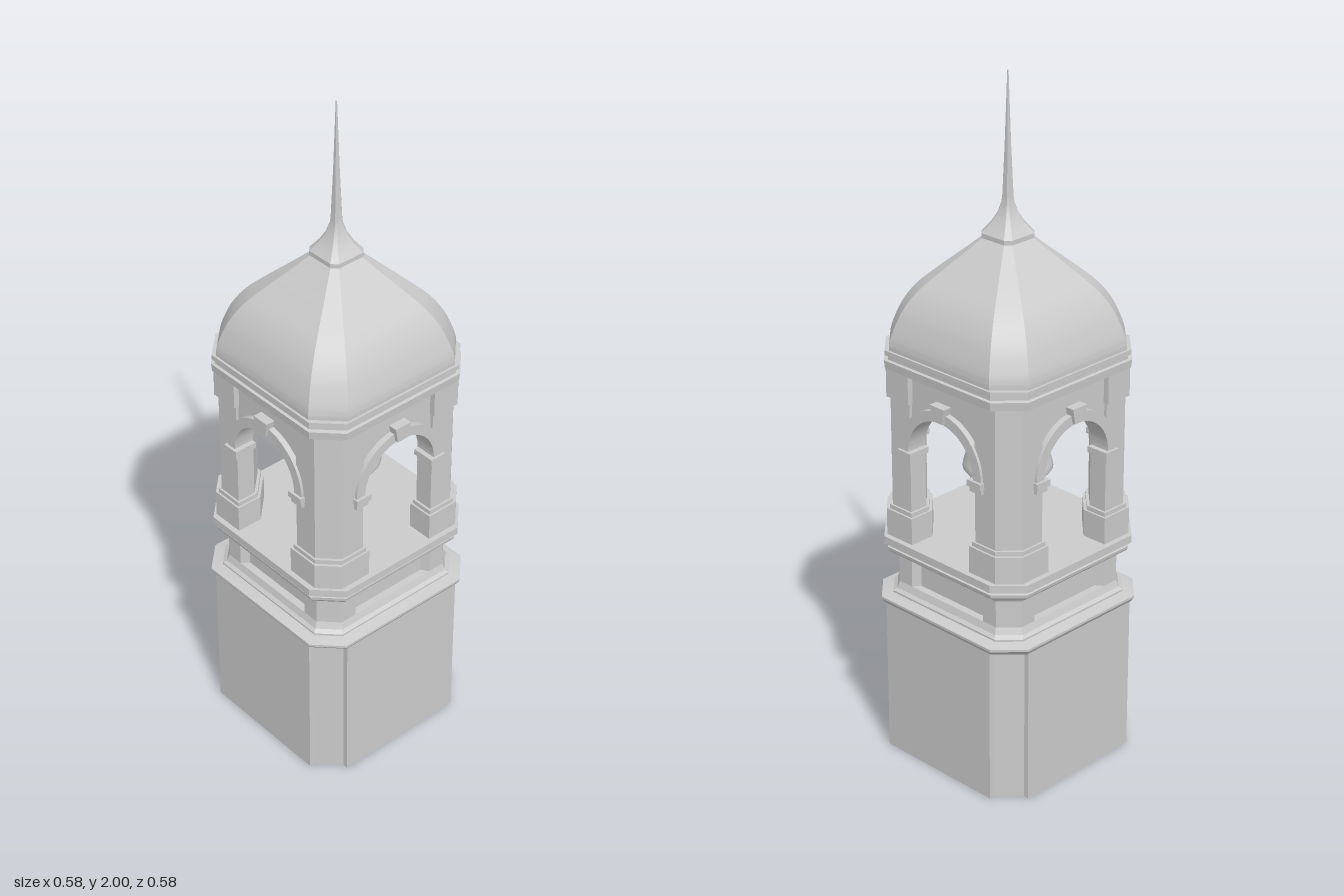
import * as THREE from 'three';
import { toCreasedNormals } from 'three/addons/utils/BufferGeometryUtils.js';

const mat = new THREE.MeshStandardMaterial({ color: 0xcccccc });
const matDouble = new THREE.MeshStandardMaterial({ color: 0xcccccc, side: THREE.DoubleSide });

// Repeats one corner outline (from the +x side round to the +z side) around all four corners
function fourCorners(corner) {
  const pts = [];
  for (let k = 0; k < 4; k++) {
    for (const [x, z] of corner) {
      pts.push([[x, z], [-z, x], [-x, -z], [z, -x]][k]);
    }
  }
  return pts;
}

// Square with cut corners: half width h, cut c
const cutSquare = (h, c) => fourCorners([[h, h - c], [h - c, h]]);

function mesh(name, geometry, material = mat) {
  const m = new THREE.Mesh(geometry, material);
  m.name = name;
  return m;
}

// Skin through rows of [y, half width, corner cut]
function loft(name, rows, { capTop = false, capBottom = false, material = mat } = {}) {
  const pos = [], idx = [], n = 8;
  for (const [y, h, c] of rows) for (const [x, z] of cutSquare(h, c)) pos.push(x, y, z);
  for (let j = 0; j < rows.length - 1; j++) {
    for (let i = 0; i < n; i++) {
      const a = j * n + i, b = j * n + (i + 1) % n;
      idx.push(a, a + n, b, b, a + n, b + n);
    }
  }
  const top = (rows.length - 1) * n;
  for (let i = 1; i < n - 1; i++) {
    if (capTop) idx.push(top, top + i + 1, top + i);
    if (capBottom) idx.push(0, i, i + 1);
  }
  const g = new THREE.BufferGeometry();
  g.setAttribute('position', new THREE.Float32BufferAttribute(pos, 3));
  g.setIndex(idx);
  return mesh(name, toCreasedNormals(g, 0.42), material);
}

// Upright prism over an outline of [x, z] points
function prism(name, pts, y0, y1) {
  const shape = new THREE.Shape(pts.map(([x, z]) => new THREE.Vector2(x, -z)));
  const g = new THREE.ExtrudeGeometry(shape, { depth: y1 - y0, bevelEnabled: false });
  g.rotateX(-Math.PI / 2).translate(0, y0, 0);
  return mesh(name, g);
}

function box(name, w, h, d, x, y, z) {
  return mesh(name, new THREE.BoxGeometry(w, h, d).translate(x, y, z));
}

// Plate in the front plane, from z0 to z1
function plate(name, shape, z0, z1) {
  const g = new THREE.ExtrudeGeometry(shape, { depth: z1 - z0, bevelEnabled: false, curveSegments: 24 });
  return mesh(name, toCreasedNormals(g.translate(0, 0, z0), 0.5));
}

// Open walls of the base, with stepped corners
function baseWalls() {
  const pts = fourCorners([[0.28, 0.205], [0.265, 0.205], [0.205, 0.265], [0.205, 0.28]]);
  const pos = [], idx = [];
  pts.forEach(([x, z], i) => {
    const [x2, z2] = pts[(i + 1) % pts.length];
    pos.push(x, 0, z, x2, 0, z2, x, 0.48, z, x2, 0.48, z2);
    idx.push(4 * i, 4 * i + 2, 4 * i + 1, 4 * i + 1, 4 * i + 2, 4 * i + 3);
  });
  const g = new THREE.BufferGeometry();
  g.setAttribute('position', new THREE.Float32BufferAttribute(pos, 3));
  g.setIndex(idx);
  g.computeVertexNormals();
  return mesh('baseWalls', g, matDouble);
}

// Corner pier outline: outer face h, inner end e
const pierOutline = (h, e, inner) =>
  [[h, e], [h, h - 0.052], [h - 0.052, h], [e, h], [e, inner], [inner, e]];

// Everything on one side of the belfry: arch wall, archivolt, keystone, imposts
function archSide() {
  const side = new THREE.Group();
  const spring = 0.955, r = 0.125;

  const wall = new THREE.Shape();
  wall.moveTo(-0.14, 1.185);
  wall.lineTo(-0.14, spring);
  wall.lineTo(-r, spring);
  wall.absarc(0, spring, r, Math.PI, 0, true);
  wall.lineTo(0.14, spring);
  wall.lineTo(0.14, 1.185);
  side.add(plate('archWall', wall, 0.195, 0.243));

  const band = new THREE.Shape();
  band.absarc(0, spring, r + 0.03, 0, Math.PI, false);
  band.lineTo(-r, spring);
  band.absarc(0, spring, r, Math.PI, 0, true);
  side.add(plate('archivolt', band, 0.24, 0.26));

  const key = new THREE.Shape([
    new THREE.Vector2(-0.019, 1.085), new THREE.Vector2(0.019, 1.085),
    new THREE.Vector2(0.027, 1.13), new THREE.Vector2(-0.027, 1.13)]);
  side.add(plate('keystone', key, 0.195, 0.27));

  for (const s of [-1, 1]) {
    side.add(box('impost', 0.05, 0.018, 0.07, s * 0.135, 0.946, 0.233));
    side.add(box('impostNeck', 0.042, 0.018, 0.06, s * 0.137, 0.93, 0.233));
  }
  return side;
}

export function createModel() {
  const model = new THREE.Group();
  model.name = 'bellTower';

  // Base and its ledge
  model.add(baseWalls());
  model.add(loft('baseLedge', [
    [0.462, 0.278, 0.073], [0.47, 0.284, 0.073], [0.477, 0.288, 0.073],
    [0.484, 0.288, 0.073], [0.492, 0.255, 0.06]], { material: matDouble }));

  // Neck with a sunk panel on each side
  model.add(loft('neckFoot', [
    [0.485, 0.256, 0.055], [0.497, 0.256, 0.055], [0.505, 0.247, 0.053], [0.525, 0.24, 0.05]],
  { capTop: true, capBottom: true }));
  model.add(prism('neck', fourCorners([
    [0.218, 0.125], [0.24, 0.14], [0.24, 0.19], [0.19, 0.24], [0.14, 0.24], [0.125, 0.218]]), 0.52, 0.61));

  // Belfry floor and mouldings
  model.add(loft('belfryFloor', [
    [0.605, 0.24, 0.05], [0.618, 0.246, 0.053], [0.622, 0.262, 0.06], [0.63, 0.27, 0.068],
    [0.64, 0.272, 0.07], [0.642, 0.266, 0.07], [0.65, 0.268, 0.07], [0.652, 0.28, 0.073],
    [0.675, 0.28, 0.073]], { capTop: true, capBottom: true }));

  // Belfry: one pier and one arch per quarter turn
  for (let k = 0; k < 4; k++) {
    const quarter = new THREE.Group();
    quarter.name = 'belfryQuarter';
    quarter.rotation.y = k * Math.PI / 2;
    quarter.add(prism('pier', pierOutline(0.252, 0.125, 0.195), 0.67, 1.185));
    quarter.add(prism('pierBase', pierOutline(0.264, 0.112, 0.185), 0.67, 0.755));
    quarter.add(prism('pierBaseCap', pierOutline(0.258, 0.118, 0.19), 0.755, 0.768));
    quarter.add(prism('pierCapital', pierOutline(0.26, 0.122, 0.193), 1.095, 1.185));
    quarter.add(archSide());
    model.add(quarter);
  }

  // Cornice under the dome
  model.add(loft('cornice', [
    [1.178, 0.256, 0.06], [1.183, 0.27, 0.07], [1.207, 0.272, 0.07], [1.209, 0.264, 0.07],
    [1.218, 0.264, 0.07], [1.222, 0.27, 0.07], [1.236, 0.27, 0.07]], { capTop: true, capBottom: true }));

  // Dome with four broad and four narrow curved faces
  const domeCurve = new THREE.SplineCurve([
    [0.263, 1.235], [0.262, 1.26], [0.251, 1.3], [0.231, 1.35], [0.199, 1.4],
    [0.151, 1.45], [0.099, 1.5], [0.05, 1.548]].map(p => new THREE.Vector2(...p)));
  model.add(loft('dome', domeCurve.getPoints(28).map(p => [p.y, p.x, p.x * 0.28])));

  // Finial and spike
  model.add(loft('finial', [
    [1.543, 0.058, 0.016], [1.556, 0.058, 0.016], [1.566, 0.05, 0.014], [1.585, 0.036, 0.01],
    [1.61, 0.023, 0.007], [1.64, 0.014, 0.004], [1.66, 0.012, 0.003], [1.8, 0.007, 0.002],
    [2, 0.0015, 0.0005]], { capTop: true, capBottom: true }));

  // Bell, hanger and clapper
  const bellProfile = [
    [0.106, 0.88], [0.122, 0.865], [0.126, 0.87], [0.124, 0.885], [0.115, 0.91], [0.108, 0.935],
    [0.1, 0.965], [0.09, 1.01], [0.08, 1.055], [0.07, 1.085], [0.05, 1.103], [0.02, 1.11], [0, 1.11]];
  const bell = new THREE.LatheGeometry(bellProfile.map(p => new THREE.Vector2(...p)), 32);
  model.add(mesh('bell', bell, matDouble));
  model.add(mesh('bellBand', new THREE.TorusGeometry(0.107, 0.004, 6, 32).rotateX(Math.PI / 2).translate(0, 0.942, 0)));
  model.add(mesh('bellHanger', new THREE.CylinderGeometry(0.018, 0.024, 0.09, 12).translate(0, 1.14, 0)));
  model.add(mesh('clapperRod', new THREE.CylinderGeometry(0.007, 0.007, 0.24, 8).translate(0, 0.985, 0)));
  model.add(mesh('clapper', new THREE.SphereGeometry(0.021, 16, 12).translate(0, 0.862, 0)));

  return model;
}
